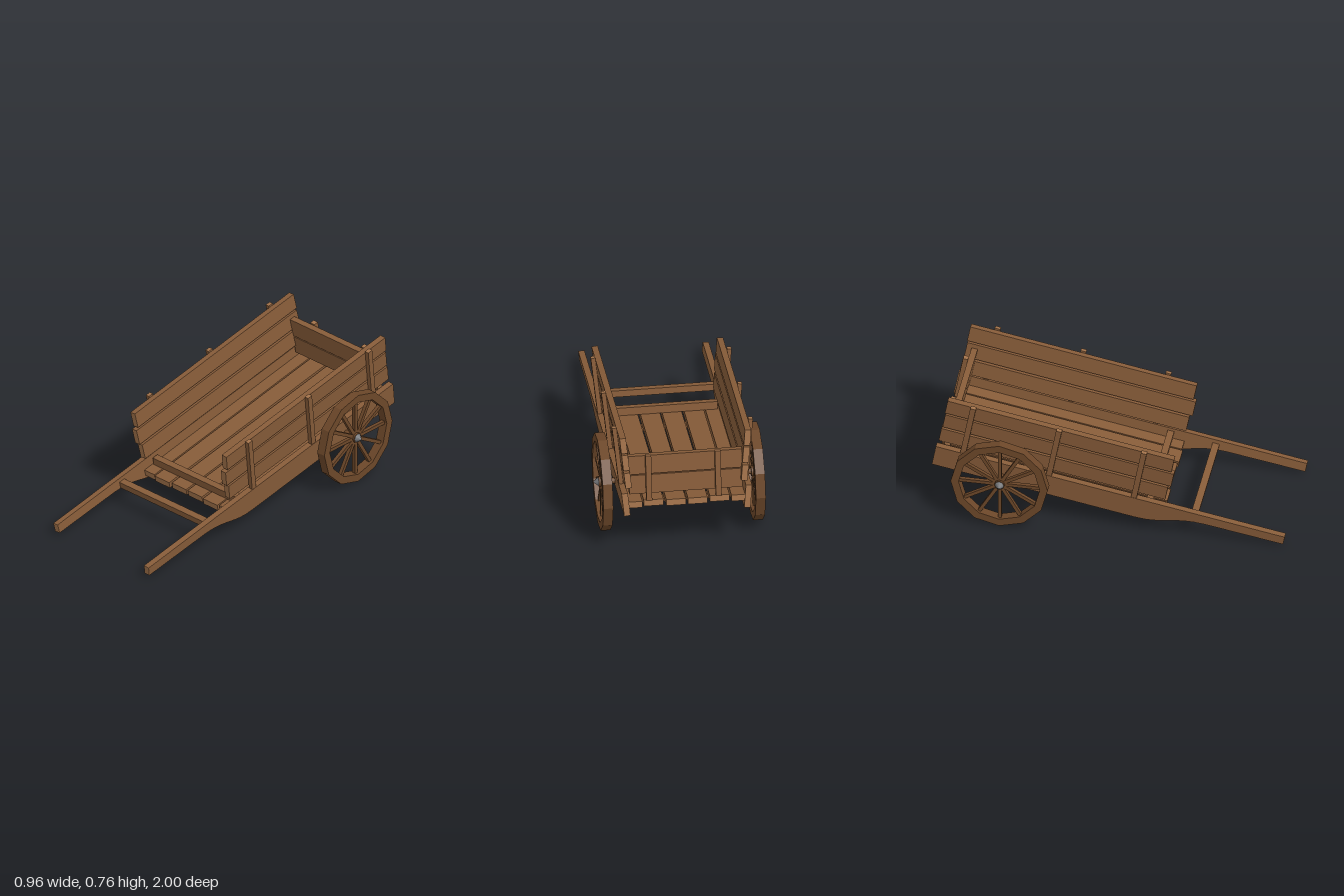
import * as THREE from 'three';

const material = (name, color) => {
  const m = new THREE.MeshStandardMaterial({ color });
  m.name = name;
  return m;
};

export function createModel() {
  const wood = material('wood', 0x875c39);
  const endGrain = material('end grain', 0xa2724a);
  const darkWood = material('dark wood', 0x6c4729);
  const iron = material('iron', 0x75777a);

  const cart = new THREE.Group();
  cart.name = 'handcart';

  const add = (parent, name, geometry, mat) => {
    const mesh = new THREE.Mesh(geometry, mat);
    mesh.name = name;
    parent.add(mesh);
    return mesh;
  };

  // Plank given by its extents, with lighter end grain on its longest axis
  const plank = (parent, name, x0, x1, y0, y1, z0, z1) => {
    const size = [x1 - x0, y1 - y0, z1 - z0];
    const long = size.indexOf(Math.max(...size));
    const mats = [0, 0, 1, 1, 2, 2].map((axis) => (axis === long ? endGrain : wood));
    const mesh = add(parent, name, new THREE.BoxGeometry(...size), mats);
    mesh.position.set((x0 + x1) / 2, (y0 + y1) / 2, (z0 + z1) / 2);
    return mesh;
  };

  // Body tilts about the axle so the handles rest low
  const body = new THREE.Group();
  body.name = 'body';
  body.position.set(0, 0.275, -0.602);
  body.rotation.x = 0.185;
  cart.add(body);

  // Floor planks: inner x, outer x, rear z, front z
  const floor = [[0.006, 0.116, -0.392, 0.915], [0.13, 0.241, -0.378, 0.922], [0.25, 0.335, -0.392, 0.915]];
  for (const [a, b, z0, z1] of floor) {
    plank(body, 'floorPlank', a, b, -0.005, 0.032, z0, z1);
    plank(body, 'floorPlank', -b, -a, -0.005, 0.032, z0, z1);
  }

  // Cross beams under the floor, in line with the side posts
  const postZ = [-0.245, 0.25, 0.74];
  for (const z of postZ) plank(body, 'crossBeam', -0.335, 0.335, -0.032, -0.004, z - 0.018, z + 0.018);

  // Front sill and handle crossbar
  plank(body, 'frontSill', -0.318, 0.328, 0.032, 0.078, 0.81, 0.848);
  plank(body, 'handleCrossbar', -0.335, 0.335, 0.032, 0.07, 1.07, 1.11);

  // Tailgate
  plank(body, 'tailgateBoard', -0.318, 0.318, 0.066, 0.178, -0.36, -0.325);
  plank(body, 'tailgateBoard', -0.32, 0.32, 0.184, 0.295, -0.36, -0.325);
  for (const x of [-0.18, 0.21]) plank(body, 'tailgatePost', x - 0.016, x + 0.016, 0.03, 0.304, -0.388, -0.36);

  // Shaft outline along its length, narrowing into the handle
  const outline = new THREE.Shape();
  outline.moveTo(-0.398, -0.047);
  outline.lineTo(0.77, -0.047);
  outline.bezierCurveTo(0.93, -0.047, 0.98, 0.03, 1.16, 0.033);
  outline.lineTo(1.608, 0.037);
  outline.lineTo(1.608, 0.092);
  outline.lineTo(-0.398, 0.09);
  outline.closePath();

  // Sides: shaft, boards and posts, leaning outward
  for (const s of [-1, 1]) {
    const side = new THREE.Group();
    side.name = s > 0 ? 'leftSide' : 'rightSide';
    side.position.set(s * 0.345, 0.09, 0);
    side.rotation.z = -s * 0.09;
    body.add(side);
    const slab = (name, a, b, y0, y1, z0, z1) =>
      plank(side, name, Math.min(s * a, s * b), Math.max(s * a, s * b), y0 - 0.09, y1 - 0.09, z0, z1);

    const shaft = new THREE.ExtrudeGeometry(outline, { depth: 0.035, bevelEnabled: false, curveSegments: 8 });
    shaft.rotateY(-Math.PI / 2);
    shaft.translate(s * 0.0045 + 0.0175, -0.09, 0);
    add(side, 'shaft', shaft, wood);
    // End grain faces of the shaft
    const cap = (y0, y1, z) => {
      const mesh = add(side, 'shaftEnd', new THREE.BoxGeometry(0.035, y1 - y0, 0.003), endGrain);
      mesh.position.set(s * 0.0045, (y0 + y1) / 2 - 0.09, z);
    };
    cap(0.037, 0.092, 1.609);
    cap(-0.047, 0.09, -0.399);

    slab('sideBoard', -0.04, -0.005, 0.115, 0.208, -0.394, 0.912);
    slab('sideBoard', -0.04, -0.005, 0.222, 0.316, -0.39, 0.928);
    slab('sideBoard', -0.04, -0.005, 0.328, 0.421, -0.394, 0.912);
    for (const z of postZ) slab('sidePost', -0.005, 0.02, 0.085, 0.432, z - 0.016, z + 0.016);
  }

  // Axle
  const axle = add(cart, 'axle', new THREE.CylinderGeometry(0.017, 0.017, 0.88, 8), darkWood);
  axle.rotation.z = Math.PI / 2;
  axle.position.set(0, 0.275, -0.605);

  // Twelve-sided rim
  const ring = (r, Path) => {
    const points = [];
    for (let i = 0; i < 12; i++) {
      const a = (i * Math.PI) / 6;
      points.push(new THREE.Vector2(r * Math.cos(a), r * Math.sin(a)));
    }
    return new Path(points);
  };
  const rimShape = ring(0.275, THREE.Shape);
  rimShape.holes.push(ring(0.23, THREE.Path));
  const rimGeometry = new THREE.ExtrudeGeometry(rimShape, { depth: 0.055, bevelEnabled: false });
  rimGeometry.translate(0, 0, -0.0275);
  rimGeometry.rotateY(Math.PI / 2);

  // Wheels
  for (const s of [-1, 1]) {
    const wheel = new THREE.Group();
    wheel.name = s > 0 ? 'leftWheel' : 'rightWheel';
    wheel.position.set(s * 0.4285, 0.275, -0.605);
    cart.add(wheel);
    add(wheel, 'rim', rimGeometry, darkWood);
    for (let i = 0; i < 12; i++) {
      const a = (i * Math.PI) / 6;
      const spoke = add(wheel, 'spoke', new THREE.BoxGeometry(0.022, 0.225, 0.02), darkWood);
      spoke.position.set(0, 0.1225 * Math.cos(a), 0.1225 * Math.sin(a));
      spoke.rotation.x = a;
    }
    const hub = add(wheel, 'hub', new THREE.CylinderGeometry(0.03, 0.03, 0.045, 8), darkWood);
    hub.rotation.z = Math.PI / 2;
    const tip = add(wheel, 'axleCap', new THREE.ConeGeometry(0.026, 0.032, 8), iron);
    tip.rotation.z = (-s * Math.PI) / 2;
    tip.position.x = s * 0.038;
  }

  return cart;
}
